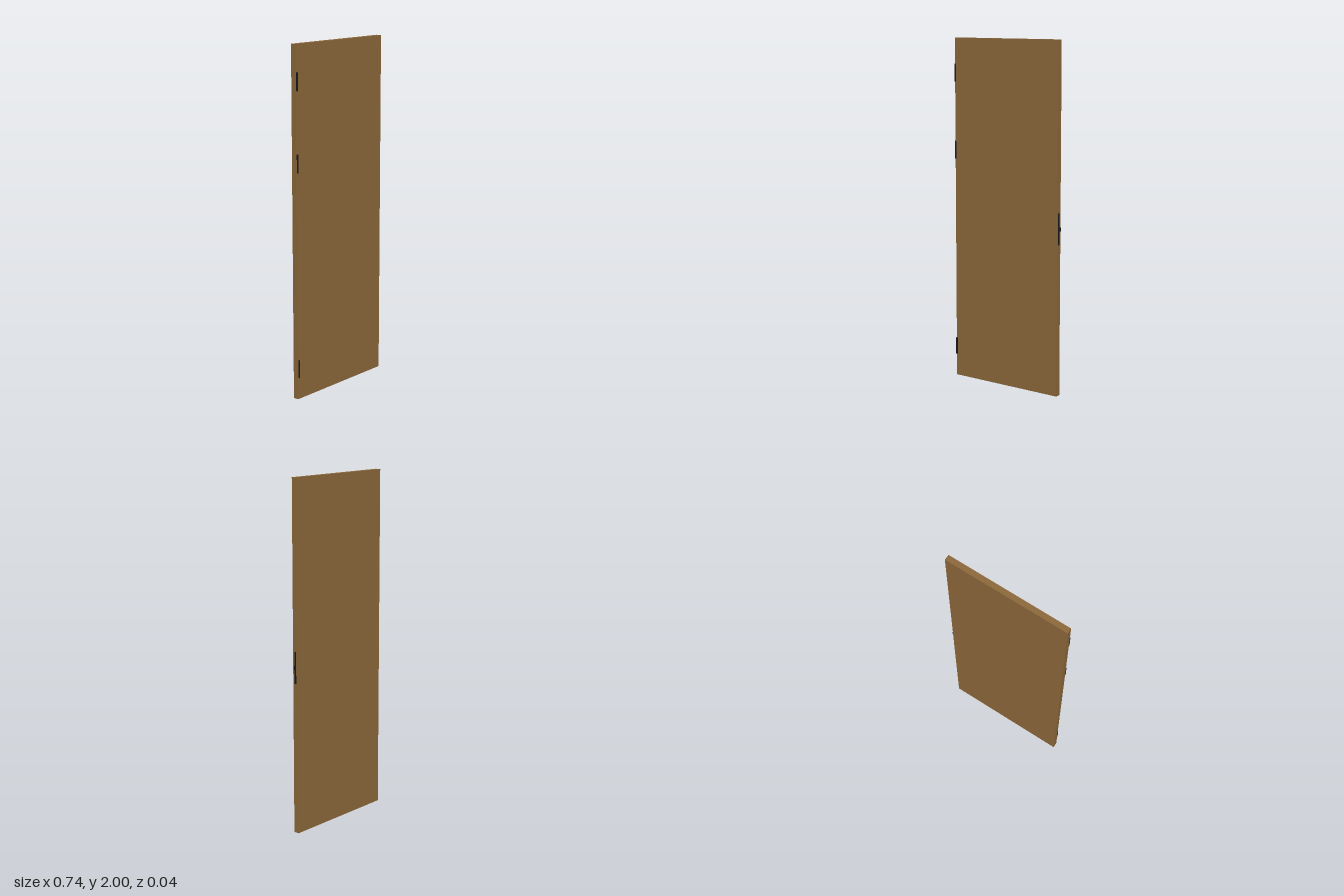
import * as THREE from 'three';

export function createModel() {
  const model = new THREE.Group();
  model.name = 'door';
  const wood = new THREE.MeshStandardMaterial({ name: 'brown wood', color: 0x8f6a3b });
  const metal = new THREE.MeshStandardMaterial({ name: 'black metal', color: 0x17191d });

  const add = (parent, name, geometry, material, x, y, z) => {
    const mesh = new THREE.Mesh(geometry, material);
    mesh.name = name;
    mesh.position.set(x, y, z);
    parent.add(mesh);
    return mesh;
  };

  // Plain slab
  add(model, 'doorSlab', new THREE.BoxGeometry(0.726, 2, 0.032), wood, -0.006, 1, -0.006);

  // Hinges: three stacked knuckles around a thin pin
  for (const y of [0.18, 1.354, 1.8]) {
    const hinge = new THREE.Group();
    hinge.name = 'hinge';
    hinge.position.set(-0.364, y, 0.0155);
    for (const k of [-1, 0, 1]) {
      add(hinge, 'hingeKnuckle', new THREE.CylinderGeometry(0.005, 0.005, 0.031, 16), metal, 0, k * 0.032, 0);
    }
    add(hinge, 'hingePin', new THREE.CylinderGeometry(0.0035, 0.0035, 0.104, 12), metal, 0, 0, 0);
    model.add(hinge);
  }

  // Latch plate set on the free edge
  add(model, 'latchPlate', new THREE.BoxGeometry(0.003, 0.18, 0.012), metal, 0.3562, 0.958, -0.006);

  // Wedge-shaped latch bolt, bevelled towards the front
  const wedge = new THREE.Shape();
  wedge.moveTo(0, 0.006);
  wedge.lineTo(0, -0.006);
  wedge.lineTo(0.003, -0.006);
  wedge.lineTo(0.011, 0.006);
  const bolt = new THREE.ExtrudeGeometry(wedge, { depth: 0.021, bevelEnabled: false });
  bolt.rotateX(-Math.PI / 2);
  add(model, 'latchBolt', bolt, metal, 0.357, 0.9475, -0.006);

  return model;
}
